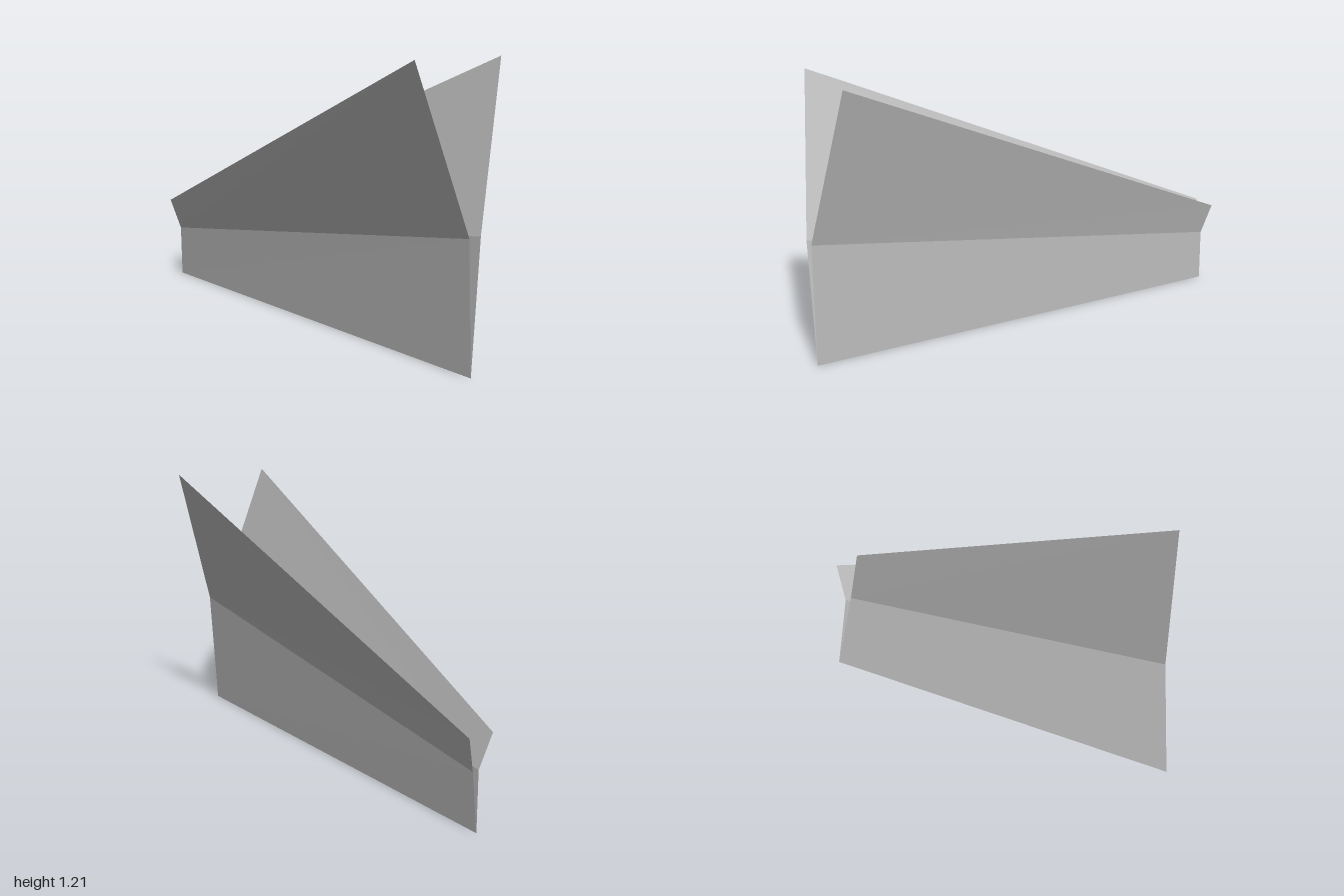
import * as THREE from 'three';

const paper = new THREE.MeshStandardMaterial({ color: 0xc2c2c2, side: THREE.DoubleSide });
paper.name = 'paper grey';

// Crease lines of one half, each running from the front to the back
const keel = [[0, 0, 1], [0, 0, -0.995]];
const fold = [[0.032, 0.55, 1], [0.015, 0.25, -0.978]];
const edge = [[0.237, 1.21, 0.9], [0.06, 0.4, -1]];

// Flat sheet between two crease lines, facing outward on the given side
function panel(name, lower, upper, side) {
  const corners = [lower[0], lower[1], upper[1], upper[0]]
    .map(([x, y, z]) => [x * side, y, z]);
  if (side < 0) corners.reverse();
  const [a, b, c, d] = corners;
  const geometry = new THREE.BufferGeometry();
  geometry.setAttribute('position',
    new THREE.Float32BufferAttribute([a, b, c, a, c, d].flat(), 3));
  geometry.computeVertexNormals();
  const mesh = new THREE.Mesh(geometry, paper);
  mesh.name = name;
  return mesh;
}

export function createModel() {
  const model = new THREE.Group();
  model.name = 'foldedPaperPlane';
  for (const side of [1, -1]) {
    const label = side > 0 ? 'left' : 'right';
    // Body flap rising from the keel, then the wing above the fold
    model.add(panel(label + 'BodyFlap', keel, fold, side));
    model.add(panel(label + 'Wing', fold, edge, side));
  }
  return model;
}
